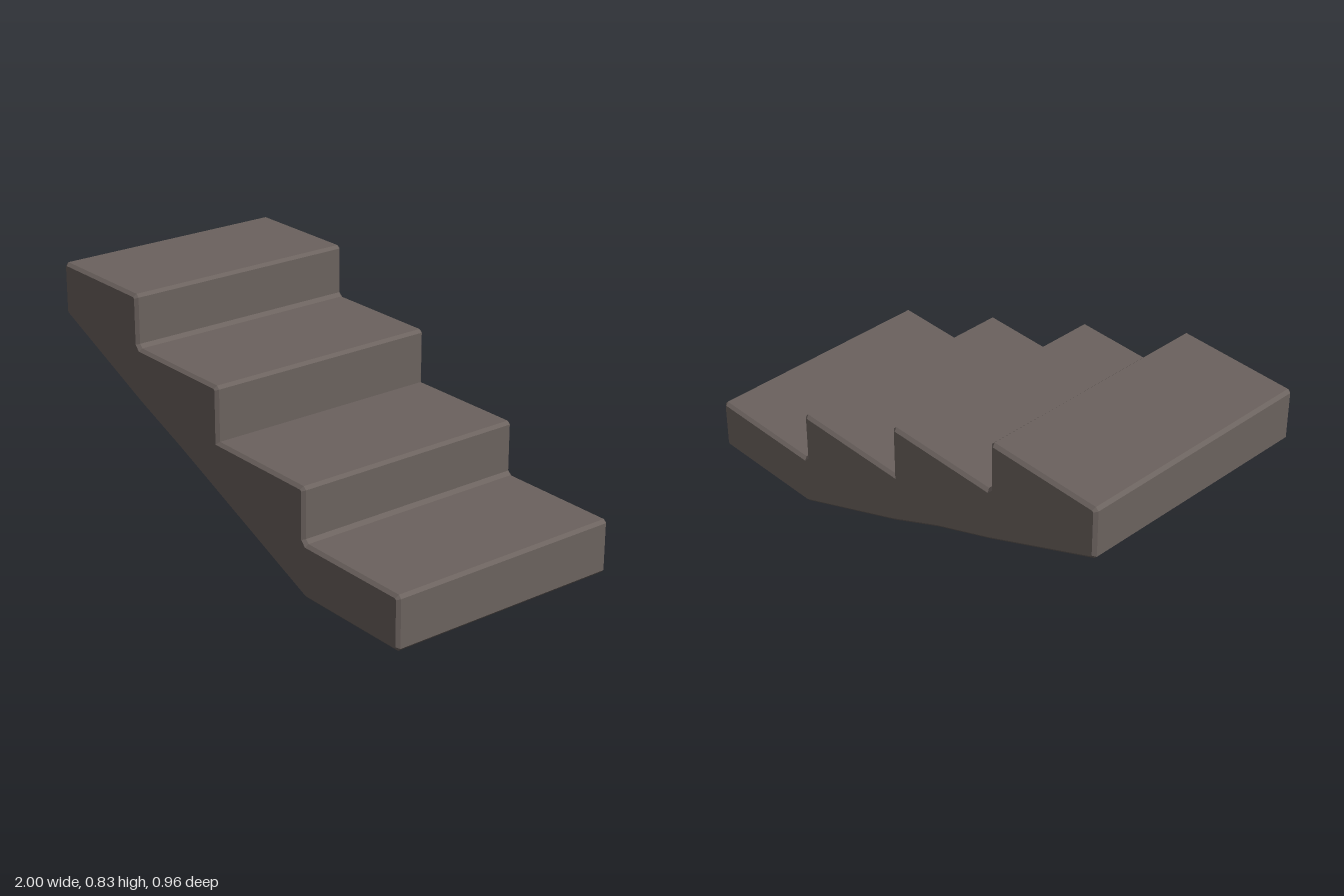
import * as THREE from 'three';

const CHAMFER = 0.012;
const HALF_DEPTH = 0.482;

// Side outline of the flight, counter-clockwise from the foot
function stairOutline() {
  const c = CHAMFER;
  const points = [[0.5, 0], [1 - c, 0], [1, c]];
  // [nose x, tread height, inner corner chamfer] from lowest to highest step
  const steps = [[1, 0.208, 0.014], [0.493, 0.417, 0], [-0.007, 0.629, 0.014], [-0.507, 0.835, 0]];
  steps.forEach(([x, y, inner], i) => {
    points.push([x, y - c], [x - c, y]);
    const next = steps[i + 1];
    if (!next) return;
    if (inner) points.push([next[0] + inner, y], [next[0], y + inner]);
    else points.push([next[0], y]);
  });
  // back end and sloping underside
  points.push([-1 + c, 0.835], [-1, 0.835 - c], [-1, 0.635], [-0.99, 0.624]);
  points.push([-0.5, 0.412], [-0.24, 0.31], [0, 0.2]);
  return new THREE.Shape(points.map(([x, y]) => new THREE.Vector2(x, y)));
}

export function createModel() {
  const stone = new THREE.MeshStandardMaterial({ color: 0x6b625e });
  stone.name = 'brownGreyStone';

  const geometry = new THREE.ExtrudeGeometry(stairOutline(), {
    depth: 2 * (HALF_DEPTH - CHAMFER),
    bevelEnabled: true,
    bevelSegments: 1,
    bevelSize: CHAMFER,
    bevelThickness: CHAMFER,
    bevelOffset: -CHAMFER,
  });
  geometry.translate(0, 0, -(HALF_DEPTH - CHAMFER));

  // Lift the front edge of the underside a little, giving its slight twist
  const p = geometry.attributes.position;
  for (let i = 0; i < p.count; i++) {
    if (Math.abs(p.getX(i)) < 0.05 && p.getY(i) < 0.3 && p.getZ(i) > 0) p.setY(i, p.getY(i) + 0.013);
  }
  geometry.computeVertexNormals();

  const stairs = new THREE.Mesh(geometry, stone);
  stairs.name = 'stairFlight';
  const group = new THREE.Group();
  group.name = 'stairs';
  group.add(stairs);
  return group;
}
